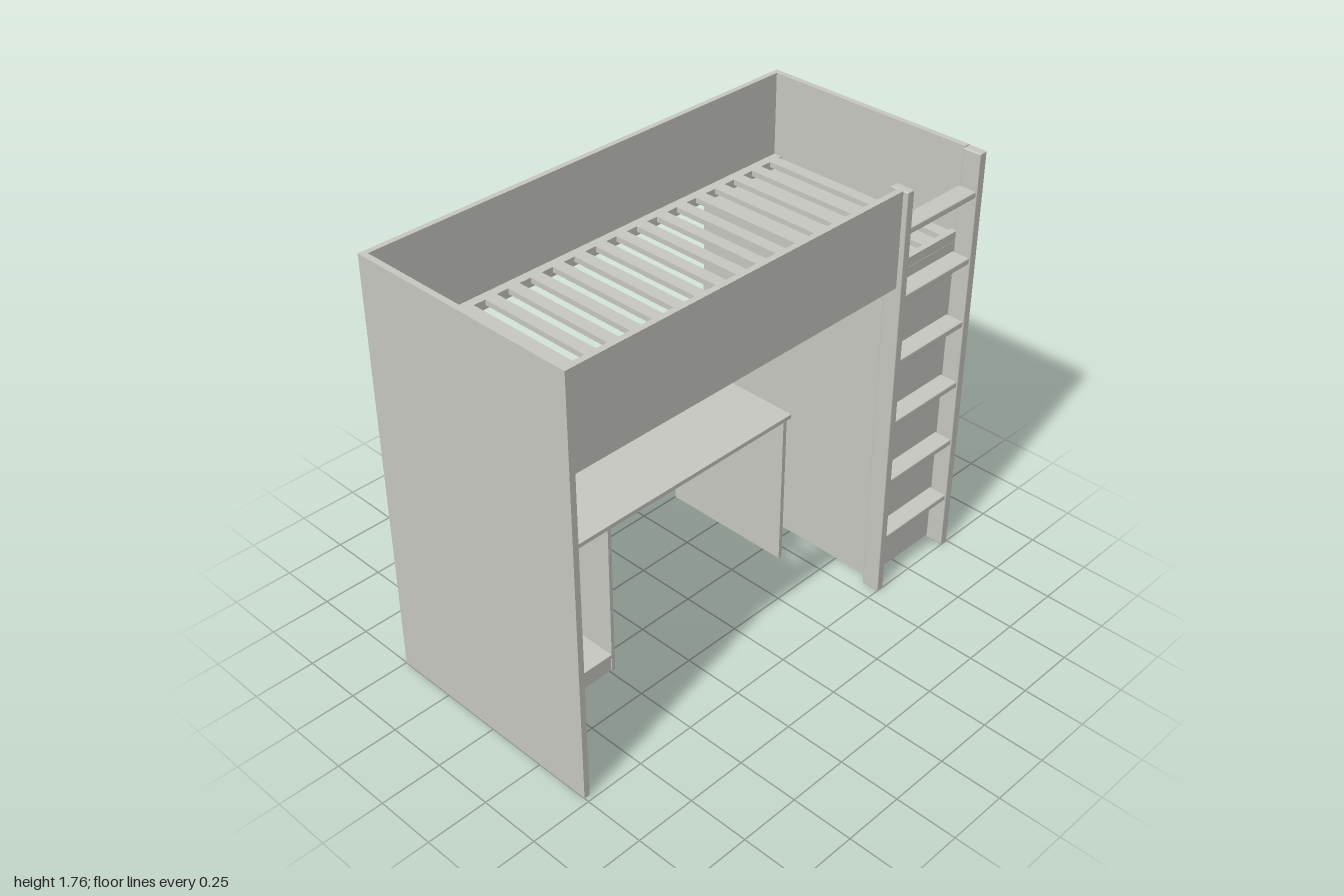
import * as THREE from 'three';
import { RoundedBoxGeometry } from 'three/addons/geometries/RoundedBoxGeometry.js';

export function createModel() {
  const model = new THREE.Group();
  model.name = 'loftBed';
  const paint = new THREE.MeshStandardMaterial({ color: 0xc8c8c2 });
  paint.name = 'warmGrey';

  const group = (name) => {
    const g = new THREE.Group();
    g.name = name;
    model.add(g);
    return g;
  };
  // A board given by its limits on each axis; a radius softens its edges
  const board = (parent, name, [x0, x1], [y0, y1], [z0, z1], radius = 0) => {
    const size = [x1 - x0, y1 - y0, z1 - z0];
    const geo = radius ? new RoundedBoxGeometry(...size, 2, radius) : new THREE.BoxGeometry(...size);
    const mesh = new THREE.Mesh(geo, paint);
    mesh.name = name;
    mesh.position.set((x0 + x1) / 2, (y0 + y1) / 2, (z0 + z1) / 2);
    parent.add(mesh);
  };

  // Bed surround
  const bed = group('bedFrame');
  const wall = [1.378, 1.76];
  board(bed, 'tallEndPanel', [-1, -0.976], [0, 1.76], [-0.5, 0.456]);
  board(bed, 'frontPanel', [-1, 0.556], wall, [0.456, 0.48]);
  board(bed, 'frontPanelLeg', [-1, -0.976], [0, 1.378], [0.456, 0.48]);
  board(bed, 'backPanel', [-0.976, 0.976], wall, [-0.5, -0.478]);
  board(bed, 'shortEndPanel', [0.976, 1], wall, [-0.5, 0.422]);

  // Slatted base
  const base = group('slattedBase');
  const railY = [1.38, 1.418];
  board(base, 'backRail', [-0.976, 0.976], railY, [-0.478, -0.44]);
  board(base, 'frontRail', [-0.976, 0.592], railY, [0.416, 0.456]);
  board(base, 'ladderRail', [0.592, 0.976], railY, [0.395, 0.42]);
  for (let i = 0; i < 19; i++) {
    const x = -0.936 + i * 0.104;
    board(base, 'slat', [x - 0.026, x + 0.026], [1.396, 1.418], [-0.44, x > 0.6 ? 0.395 : 0.416]);
  }

  // Ladder
  const ladder = group('ladder');
  for (const [x0, x1] of [[0.555, 0.591], [0.962, 1]])
    board(ladder, 'ladderPost', [x0, x1], [0, 1.76], [0.424, 0.5], 0.005);
  for (let i = 0; i < 6; i++) {
    const y = 0.24 + i * 0.2715;
    board(ladder, 'rung', [0.588, 0.965], [y - 0.013, y + 0.013], [0.418, 0.496], 0.005);
  }

  // Wardrobe, open towards +x
  const wardrobe = group('wardrobe');
  const wx = [0.617, 0.98];
  board(wardrobe, 'innerSide', [0.6, 0.617], [0, 1.376], [-0.5, 0.417]);
  board(wardrobe, 'frontSide', wx, [0, 1.376], [0.4, 0.417]);
  board(wardrobe, 'backSide', wx, [0, 1.376], [-0.5, -0.48]);
  board(wardrobe, 'top', wx, [1.36, 1.376], [-0.48, 0.4]);
  board(wardrobe, 'floor', wx, [0.064, 0.08], [-0.48, 0.4]);
  board(wardrobe, 'plinth', [0.96, 0.976], [0, 0.064], [-0.48, 0.4]);
  board(wardrobe, 'divider', wx, [0.08, 1.36], [0.037, 0.053]);
  for (const y of [0.384, 0.707, 1.032])
    board(wardrobe, 'narrowShelf', wx, [y - 0.008, y + 0.008], [0.053, 0.4]);
  board(wardrobe, 'wideShelf', wx, [0.25, 0.266], [-0.48, 0.037]);

  // Desk
  const desk = group('desk');
  board(desk, 'deskTop', [-0.976, 0.456], [0.688, 0.706], [-0.5, 0.105]);
  board(desk, 'deskLeg', [0.436, 0.454], [0, 0.688], [-0.5, 0.085]);
  board(desk, 'backApron', [-0.476, 0.436], [0.613, 0.688], [-0.5, -0.482]);

  // Desk cabinet, open at the front
  const cabinet = group('deskCabinet');
  const cx = [-0.938, -0.492];
  for (const [x0, x1] of [[-0.954, -0.938], [-0.492, -0.476]])
    board(cabinet, 'cabinetSide', [x0, x1], [0, 0.688], [-0.5, 0.085]);
  board(cabinet, 'cabinetFloor', cx, [0.064, 0.08], [-0.484, 0.085]);
  board(cabinet, 'cabinetBack', cx, [0.064, 0.688], [-0.5, -0.484]);
  board(cabinet, 'cabinetPlinth', cx, [0, 0.064], [0.064, 0.08]);

  return model;
}
